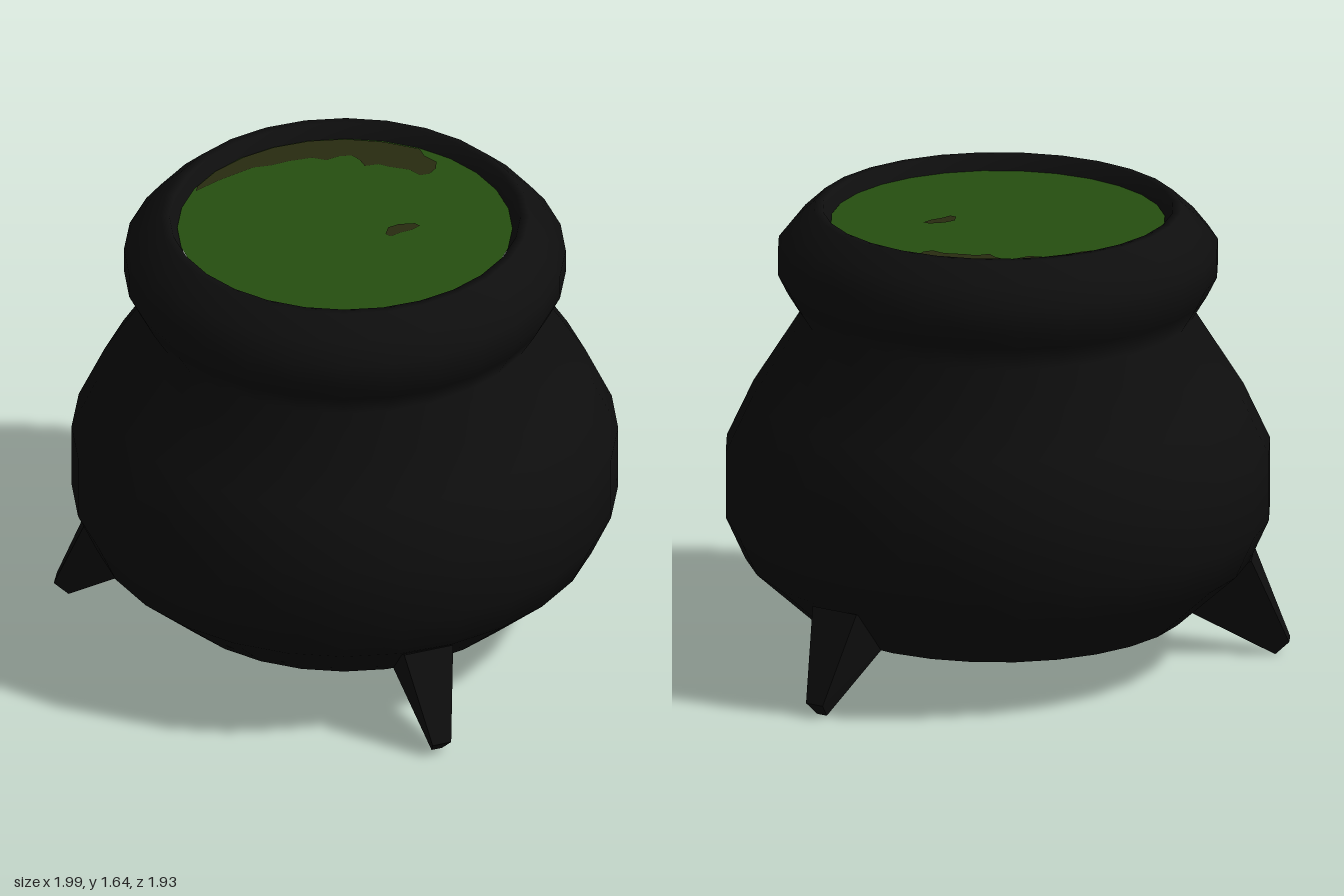
import * as THREE from 'three';

const SIDES = 28;
const LIQUID_Y = 1.59;
const CENTRE_X = -0.035;

const iron = new THREE.MeshStandardMaterial({ color: 0x0e0e0e });
iron.name = 'black iron';
const legIron = iron.clone();
legIron.name = 'black iron faceted';
legIron.flatShading = true;
const green = new THREE.MeshStandardMaterial({ color: 0x264f10 });
green.name = 'green brew';
const brown = new THREE.MeshStandardMaterial({ color: 0x282b10 });
brown.name = 'brown scum';

function add(parent, name, geometry, material) {
  const mesh = new THREE.Mesh(geometry, material);
  mesh.name = name;
  parent.add(mesh);
  return mesh;
}

// Tapered wedge: local x points outward, wide at the outer top, narrow at the foot
function legGeometry() {
  const g = new THREE.BoxGeometry(1, 1, 1);
  const p = g.attributes.position;
  for (let i = 0; i < p.count; i++) {
    const outer = p.getX(i) > 0, top = p.getY(i) > 0;
    const [r, y, half] = top
      ? (outer ? [0.9, 0.365, 0.0925] : [0.59, 0.205, 0.05])
      : (outer ? [1.03, 0.05, 0.035] : [0.98, 0, 0.02]);
    p.setXYZ(i, r, y, Math.sign(p.getZ(i)) * half);
  }
  g.computeVertexNormals();
  return g;
}

// Flat patch on the liquid from [x, z] outline points
function patchGeometry(points) {
  const shape = new THREE.Shape(points.map(([x, z]) => new THREE.Vector2(x - CENTRE_X, -z)));
  return new THREE.ShapeGeometry(shape).rotateX(-Math.PI / 2).translate(0, LIQUID_Y + 0.004, 0);
}

export function createModel() {
  const model = new THREE.Group();
  model.name = 'cauldron';
  const pot = new THREE.Group();
  pot.name = 'pot';
  pot.position.x = CENTRE_X;
  model.add(pot);

  // Round belly, pinched neck and bulging rim
  const profile = [
    [0, 0.04], [0.165, 0.04], [0.335, 0.075], [0.675, 0.165], [0.895, 0.365],
    [0.965, 0.52], [0.965, 0.76], [0.87, 0.965], [0.69, 1.25], [0.745, 1.34],
    [0.78, 1.41], [0.78, 1.5], [0.725, 1.57], [0.65, 1.64], [0.62, 1.64], [0.585, 1.57],
  ].map(([r, y]) => new THREE.Vector2(r, y));
  add(pot, 'body', new THREE.LatheGeometry(profile, SIDES), iron);

  // Brew surface
  const disc = new THREE.CircleGeometry(0.592, SIDES).rotateX(-Math.PI / 2);
  add(pot, 'liquid', disc, green).position.y = LIQUID_Y;

  // Scum floating along the edge and one small blob
  add(pot, 'edgeScum', patchGeometry([
    [-0.18, -0.56], [-0.15, -0.575], [-0.03, -0.588], [0.1, -0.57], [0.22, -0.527],
    [0.33, -0.457], [0.42, -0.365], [0.49, -0.25], [0.535, -0.12], [0.51, -0.08],
    [0.505, -0.02], [0.47, 0.005], [0.43, 0.01], [0.4, -0.01], [0.405, -0.06],
    [0.375, -0.13], [0.365, -0.17], [0.325, -0.2], [0.345, -0.24], [0.35, -0.28],
    [0.32, -0.31], [0.27, -0.33], [0.25, -0.38], [0.18, -0.43], [0.12, -0.46],
    [0.07, -0.5], [0, -0.52], [-0.07, -0.54],
  ]), brown);
  add(pot, 'smallScum', patchGeometry([
    [0.02, 0.14], [0.06, 0.12], [0.1, 0.135], [0.14, 0.175], [0.14, 0.2],
    [0.1, 0.195], [0.06, 0.175], [0.02, 0.165],
  ]), brown);

  // Three legs, each nudged sideways
  const leg = legGeometry();
  [['leftLeg', 0, 0.1], ['frontRightLeg', 120, 0.03], ['backRightLeg', -120, -0.03]]
    .forEach(([name, degrees, offset]) => {
      const mount = new THREE.Group();
      mount.name = name;
      mount.rotation.y = -THREE.MathUtils.degToRad(degrees);
      add(mount, name + 'Wedge', leg, legIron).position.z = offset;
      pot.add(mount);
    });

  return model;
}
